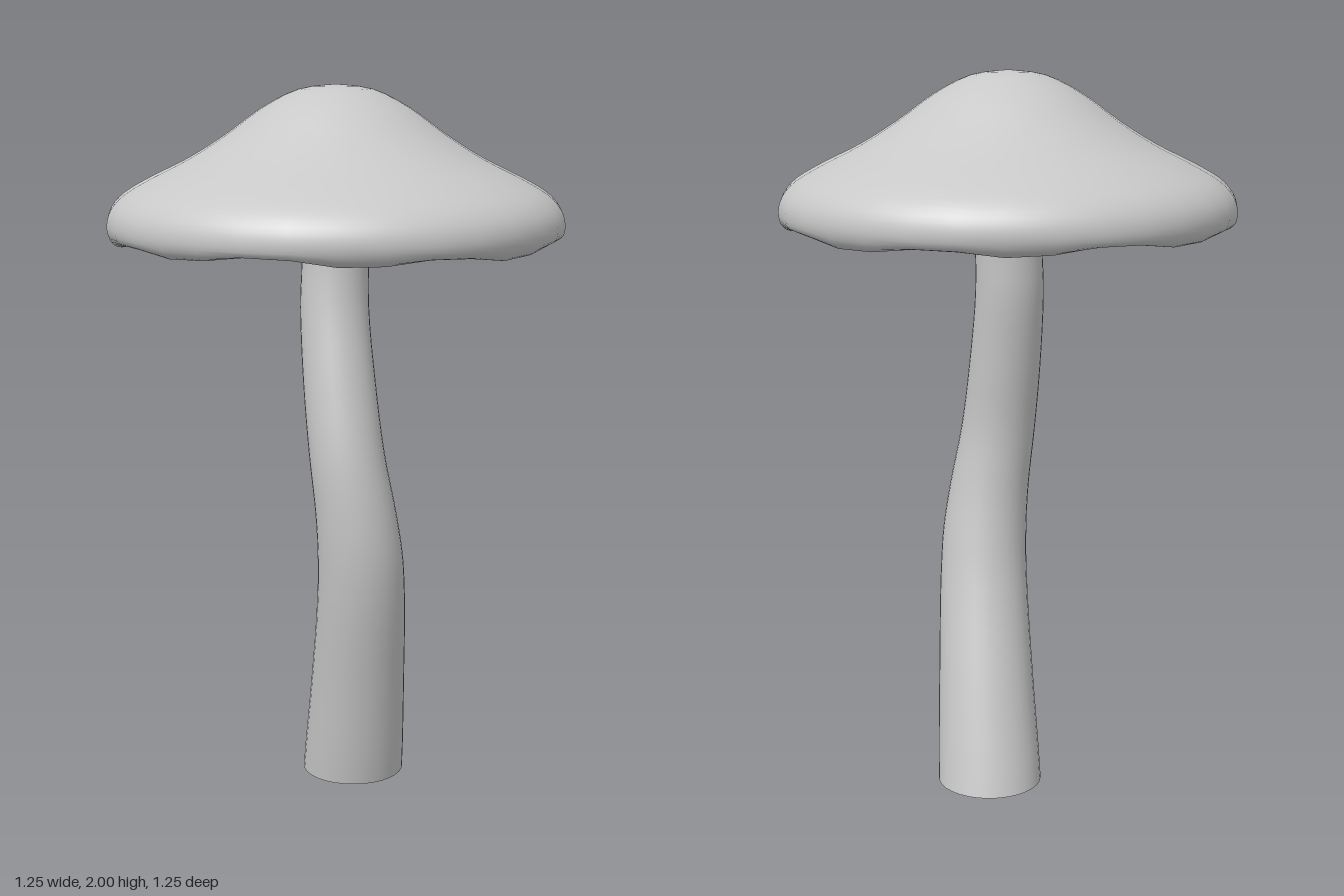
import * as THREE from 'three';
import { mergeVertices } from 'three/addons/utils/BufferGeometryUtils.js';

const grey = new THREE.MeshStandardMaterial({ color: 0xc8c8c8 });
grey.name = 'plain grey';

// Weld seams so the shading is smooth all the way round
function smooth(geometry) {
  geometry.deleteAttribute('uv');
  geometry.deleteAttribute('normal');
  const welded = mergeVertices(geometry, 1e-4);
  welded.computeVertexNormals();
  return welded;
}

function part(name, geometry) {
  const mesh = new THREE.Mesh(geometry, grey);
  mesh.name = name;
  return mesh;
}

// Cap: one closed profile from the hollow underside, round the lip, to the crown
function makeCap() {
  const profile = new THREE.SplineCurve([
    [0, 1.745], [0.12, 1.735], [0.2, 1.7], [0.3, 1.655], [0.45, 1.612], [0.55, 1.588], [0.595, 1.583],
    [0.618, 1.6], [0.624, 1.633], [0.612, 1.672], [0.575, 1.712], [0.5, 1.755], [0.4, 1.804],
    [0.3, 1.866], [0.2, 1.938], [0.1, 1.987], [0, 2],
  ].map(([r, y]) => new THREE.Vector2(r, y)));
  const points = profile.getPoints(48);
  points.forEach((p) => { p.x = Math.max(p.x, 0); });
  const geometry = new THREE.LatheGeometry(points, 32);

  // Gentle radial folds under the cap, fading out at the lip and the stem
  const pos = geometry.attributes.position;
  const row = points.length;
  for (let i = 0; i < pos.count; i++) {
    const k = i % row;
    if (k > 21) continue;
    const x = pos.getX(i), z = pos.getZ(i);
    const angle = Math.atan2(z, x);
    const fade = Math.min(1, Math.hypot(x, z) / 0.4) * Math.min(1, (22 - k) / 4);
    const fold = Math.sin(angle * 8 + 0.6) + 0.35 * Math.sin(angle * 3);
    pos.setY(i, pos.getY(i) + 0.01 * fade * fold);
  }
  return part('cap', smooth(geometry));
}

// Stem: level rings following a bent centre line; each row is x, y, z, radius
const rings = [
  [0.1, 0, -0.056, 0.147], [0.067, 0.3, 0.015, 0.135], [0.035, 0.56, 0.076, 0.125],
  [0.018, 0.7, 0.096, 0.12], [0, 0.83, 0.099, 0.113], [-0.02, 1.0, 0.083, 0.105],
  [-0.02, 1.2, 0.046, 0.1], [-0.011, 1.4, 0.01, 0.095], [-0.003, 1.54, 0.003, 0.094],
  [0, 1.62, 0, 0.11], [0, 1.675, 0, 0.143], [0, 1.74, 0, 0.155],
];

function makeStem() {
  const centre = new THREE.CatmullRomCurve3(rings.map(([x, y, z]) => new THREE.Vector3(x, y, z)));
  const radius = new THREE.SplineCurve(rings.map(([, y, , r]) => new THREE.Vector2(y, r)));
  const geometry = new THREE.CylinderGeometry(1, 1, 1, 32, 44, true);
  const pos = geometry.attributes.position;
  for (let i = 0; i < pos.count; i++) {
    const t = THREE.MathUtils.clamp(pos.getY(i) + 0.5, 0, 1);
    const c = centre.getPoint(t);
    const r = radius.getPoint(t).y;
    pos.setXYZ(i, c.x + pos.getX(i) * r, c.y, c.z + pos.getZ(i) * r);
  }
  return part('stem', smooth(geometry));
}

// Flat cut end of the stem
function makeBase() {
  const [x, y, z, r] = rings[0];
  const base = part('stemBase', new THREE.CircleGeometry(r, 32));
  base.rotation.x = Math.PI / 2;
  base.position.set(x, y, z);
  return base;
}

export function createModel() {
  const group = new THREE.Group();
  group.name = 'mushroom';
  group.add(makeCap(), makeStem(), makeBase());
  return group;
}
